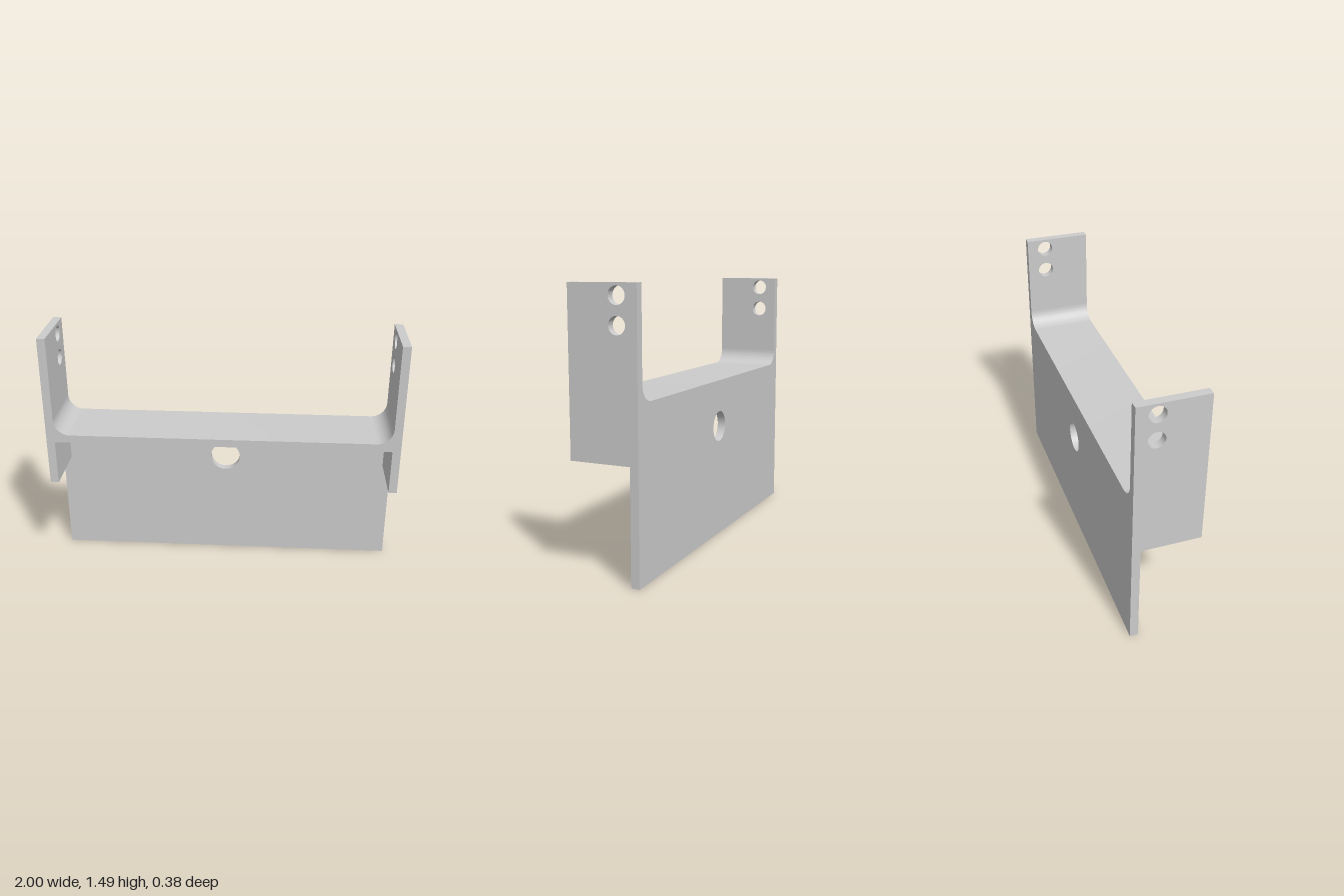
import * as THREE from 'three';
import { toCreasedNormals } from 'three/addons/utils/BufferGeometryUtils.js';

const T = 0.047;             // sheet thickness
const INNER = 1 - T;         // inner face of the side walls
const BACK = -0.19, FRONT = 0.19;
const SHELF_BOTTOM = 0.87, SHELF_TOP = 0.915;

const material = new THREE.MeshStandardMaterial({ color: 0xcccccc });

function outline(points) {
  return new THREE.Shape(points.map(([x, y]) => new THREE.Vector2(x, y)));
}

function addHole(shape, x, y, r) {
  const hole = new THREE.Path();
  hole.absarc(x, y, r, 0, Math.PI * 2, true);
  shape.holes.push(hole);
}

function extrude(shape, depth) {
  const geometry = new THREE.ExtrudeGeometry(shape, { depth, bevelEnabled: false, curveSegments: 24 });
  return toCreasedNormals(geometry, 0.5);
}

function part(name, geometry) {
  const mesh = new THREE.Mesh(geometry, material);
  mesh.name = name;
  return mesh;
}

export function createModel() {
  const group = new THREE.Group();
  group.name = 'mountingBracket';

  // Back plate with its central hole
  const plate = outline([[-INNER, 0], [INNER, 0], [INNER, SHELF_BOTTOM], [-INNER, SHELF_BOTTOM]]);
  addHole(plate, 0, 0.645, 0.088);
  group.add(part('backPlate', extrude(plate, T).translate(0, 0, BACK)));

  // Shelf, flaring into the walls with large fillets above and tiny ones below
  const R = 0.09, r = 0.01;
  const shelf = new THREE.Shape();
  shelf.moveTo(-INNER, SHELF_BOTTOM - r);
  shelf.absarc(-INNER + r, SHELF_BOTTOM - r, r, Math.PI, Math.PI / 2, true);
  shelf.absarc(INNER - r, SHELF_BOTTOM - r, r, Math.PI / 2, 0, true);
  shelf.lineTo(INNER, SHELF_TOP + R);
  shelf.absarc(INNER - R, SHELF_TOP + R, R, 0, -Math.PI / 2, true);
  shelf.absarc(-INNER + R, SHELF_TOP + R, R, -Math.PI / 2, -Math.PI, true);
  group.add(part('shelf', extrude(shelf, FRONT - BACK).translate(0, 0, BACK)));

  // Side walls: wide arm above, narrow edge of the back plate below
  const wall = outline([
    [BACK, 0], [BACK + T, 0], [BACK + T, 0.61], [FRONT, 0.61], [FRONT, 1.487], [BACK, 1.487],
  ]);
  for (const y of [1.285, 1.427]) addHole(wall, -0.08, y, 0.046);
  const wallGeometry = extrude(wall, T).rotateY(-Math.PI / 2);
  for (const [name, x] of [['leftWall', 1], ['rightWall', -INNER]]) {
    const mesh = part(name, wallGeometry);
    mesh.position.x = x;
    group.add(mesh);
  }

  return group;
}
